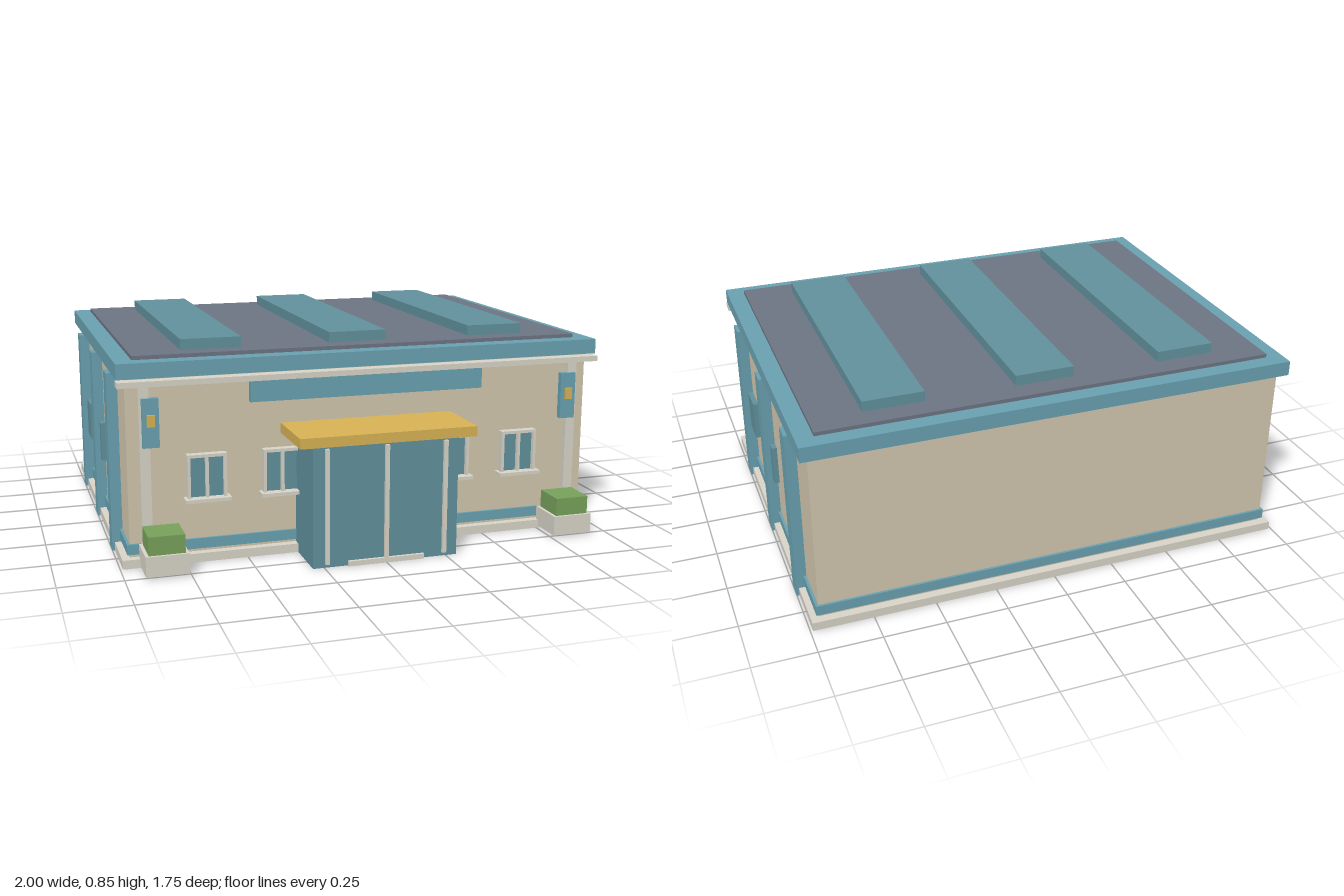
import * as THREE from 'three';

const mat = (color) => new THREE.MeshStandardMaterial({ color });

export function createModel() {
  const group = new THREE.Group();
  const wall = mat(0xd4c8b0), trim = mat(0x6aa3b2), glass = mat(0x62929e), stone = mat(0xdad6ca);
  const roof = mat(0x6e7684), gold = mat(0xdab456), green = mat(0x78a35c);

  // Box given by its lower and upper limits on each axis
  const box = (name, material, x0, x1, y0, y1, z0, z1) => {
    const mesh = new THREE.Mesh(new THREE.BoxGeometry(x1 - x0, y1 - y0, z1 - z0), material);
    mesh.position.set((x0 + x1) / 2, (y0 + y1) / 2, (z0 + z1) / 2);
    mesh.name = name;
    group.add(mesh);
  };
  // The same box on both sides of the building
  const pair = (name, material, x0, x1, ...rest) => {
    box(name + 'Left', material, x0, x1, ...rest);
    box(name + 'Right', material, -x1, -x0, ...rest);
  };

  // Main hall
  box('baseSlab', stone, -0.99, 0.99, 0, 0.035, -0.875, 0.63);
  box('walls', wall, -0.957, 0.957, 0.035, 0.735, -0.84, 0.597);
  box('baseBand', trim, -0.968, 0.968, 0.047, 0.088, -0.85, 0.607);

  // Roof with three raised skylights
  box('roofEdge', trim, -0.99, 0.99, 0.735, 0.795, -0.873, 0.627);
  box('roofDeck', roof, -0.92, 0.92, 0.795, 0.81, -0.808, 0.557);
  for (const x of [-0.6, 0, 0.6]) box('skylight', glass, x - 0.12, x + 0.12, 0.81, 0.852, -0.72, 0.475);

  // Front cornice, blank sign board and corner columns
  box('cornice', stone, -0.99, 0.99, 0.706, 0.728, 0.59, 0.648);
  box('signBoard', trim, -0.48, 0.48, 0.62, 0.704, 0.59, 0.627);
  pair('cornerColumn', stone, 0.87, 0.91, 0.035, 0.706, 0.59, 0.622);
  pair('banner', trim, 0.835, 0.9, 0.47, 0.66, 0.61, 0.635);
  pair('bannerEmblem', gold, 0.852, 0.882, 0.552, 0.598, 0.63, 0.645);

  // Front windows: frame bars around glass, centre mullion and sill
  for (const x of [0.355, 0.655]) {
    pair('windowGlass', glass, x - 0.07, x + 0.07, 0.255, 0.42, 0.59, 0.612);
    for (const dx of [-0.071, 0, 0.071])
      pair('windowBar', stone, x + dx - 0.006, x + dx + 0.006, 0.255, 0.425, 0.59, 0.63);
    pair('windowHead', stone, x - 0.077, x + 0.077, 0.417, 0.429, 0.59, 0.63);
    pair('windowSill', stone, x - 0.09, x + 0.09, 0.244, 0.258, 0.59, 0.652);
  }

  // Entrance porch, door posts, threshold and canopy
  box('entrance', glass, -0.295, 0.295, 0, 0.485, 0.59, 0.835);
  for (const x of [-0.24, 0, 0.24]) box('doorPost', stone, x - 0.008, x + 0.008, 0.015, 0.47, 0.83, 0.848);
  box('threshold', stone, -0.155, 0.155, 0, 0.02, 0.83, 0.848);
  box('canopy', gold, -0.355, 0.355, 0.485, 0.525, 0.59, 0.875);

  // Planters with hedges
  pair('planter', stone, 0.757, 0.923, 0.01, 0.09, 0.61, 0.773);
  pair('hedge', green, 0.77, 0.91, 0.09, 0.163, 0.622, 0.762);

  // Side pilasters and windows
  for (const z of [0.36, -0.122, -0.603]) pair('pilaster', trim, 0.95, 1, 0, 0.72, z - 0.039, z + 0.039);
  for (const z of [0.28, -0.122, -0.525]) pair('sideWindow', glass, 0.95, 0.978, 0.255, 0.42, z - 0.078, z + 0.078);

  return group;
}
